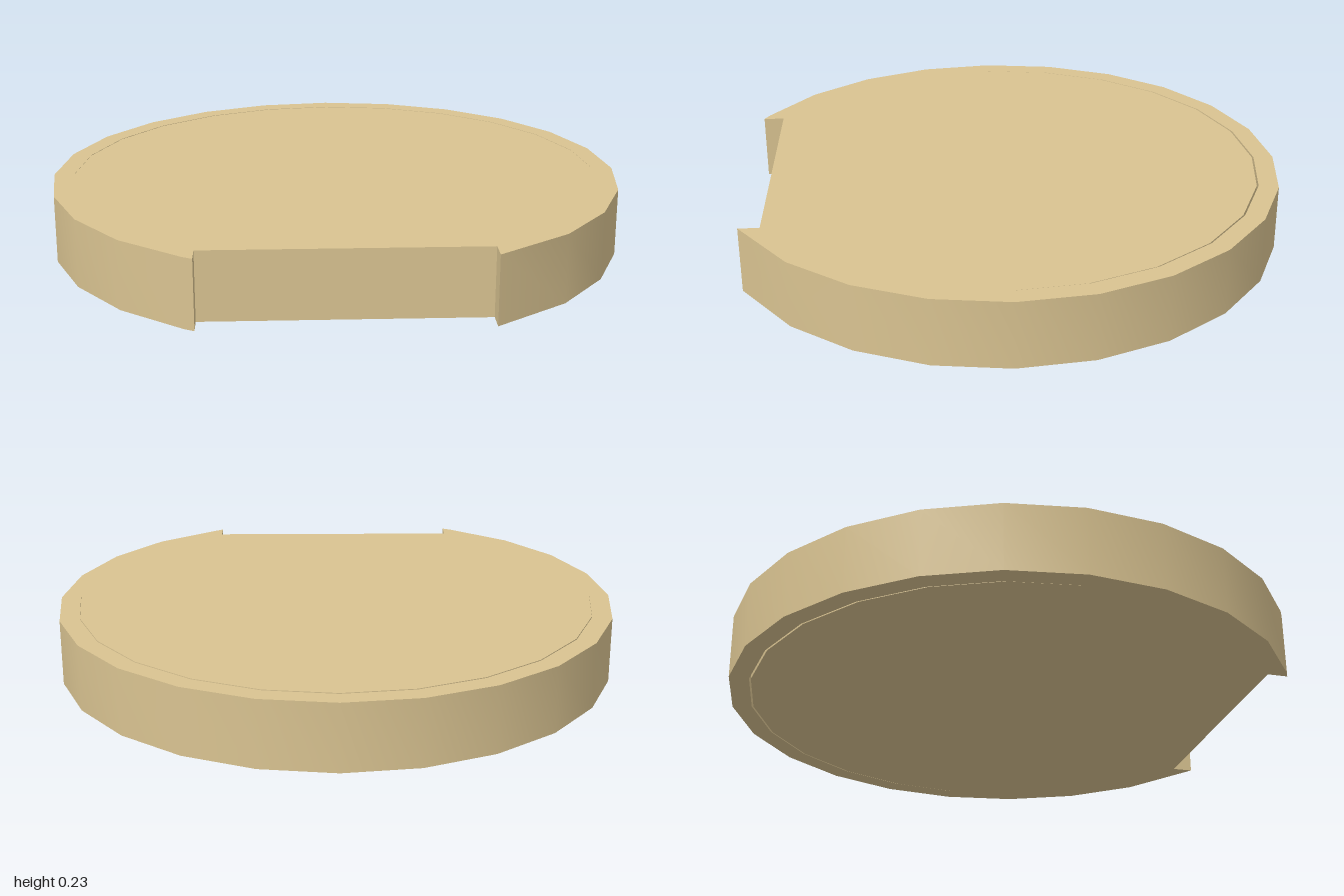
import * as THREE from 'three';
import { toCreasedNormals } from 'three/addons/utils/BufferGeometryUtils.js';

const HEIGHT = 0.235;
const STEP = Math.PI / 12; // 24-sided circle

// Points round a circle, counter-clockwise, leaving the front open past the two end angles
function arc(radius, centreZ, endAngle) {
  const angles = [-endAngle];
  const last = Math.PI + endAngle;
  for (let a = -3 * STEP; a < last - 0.01; a += STEP) angles.push(a);
  angles.push(last);
  return angles.map(a => new THREE.Vector2(radius * Math.cos(a), radius * Math.sin(a) - centreZ));
}

// Upright slab with a smooth rim and sharp corners
function slab(points, material, name) {
  const geometry = new THREE.ExtrudeGeometry(new THREE.Shape(points), { depth: HEIGHT, bevelEnabled: false });
  geometry.rotateX(-Math.PI / 2);
  const mesh = new THREE.Mesh(toCreasedNormals(geometry, 0.5), material);
  mesh.name = name;
  return mesh;
}

export function createModel() {
  const group = new THREE.Group();
  group.name = 'roundBase';
  const tan = new THREE.MeshStandardMaterial({ color: 0xd9c391 });
  tan.name = 'tan';

  // Open outer ring whose ends are cut straight at x = 0.465
  const outer = arc(1, 0.0565, Math.acos(0.465));
  const inner = arc(0.93, 0.0565, Math.PI / 3).reverse();
  group.add(slab([...outer, ...inner], tan, 'outerRing'));

  // Inner disc with a flat front, set slightly forward to leave a thin gap behind it
  group.add(slab(arc(0.93, 0.063, Math.PI / 3), tan, 'innerDisc'));

  return group;
}
